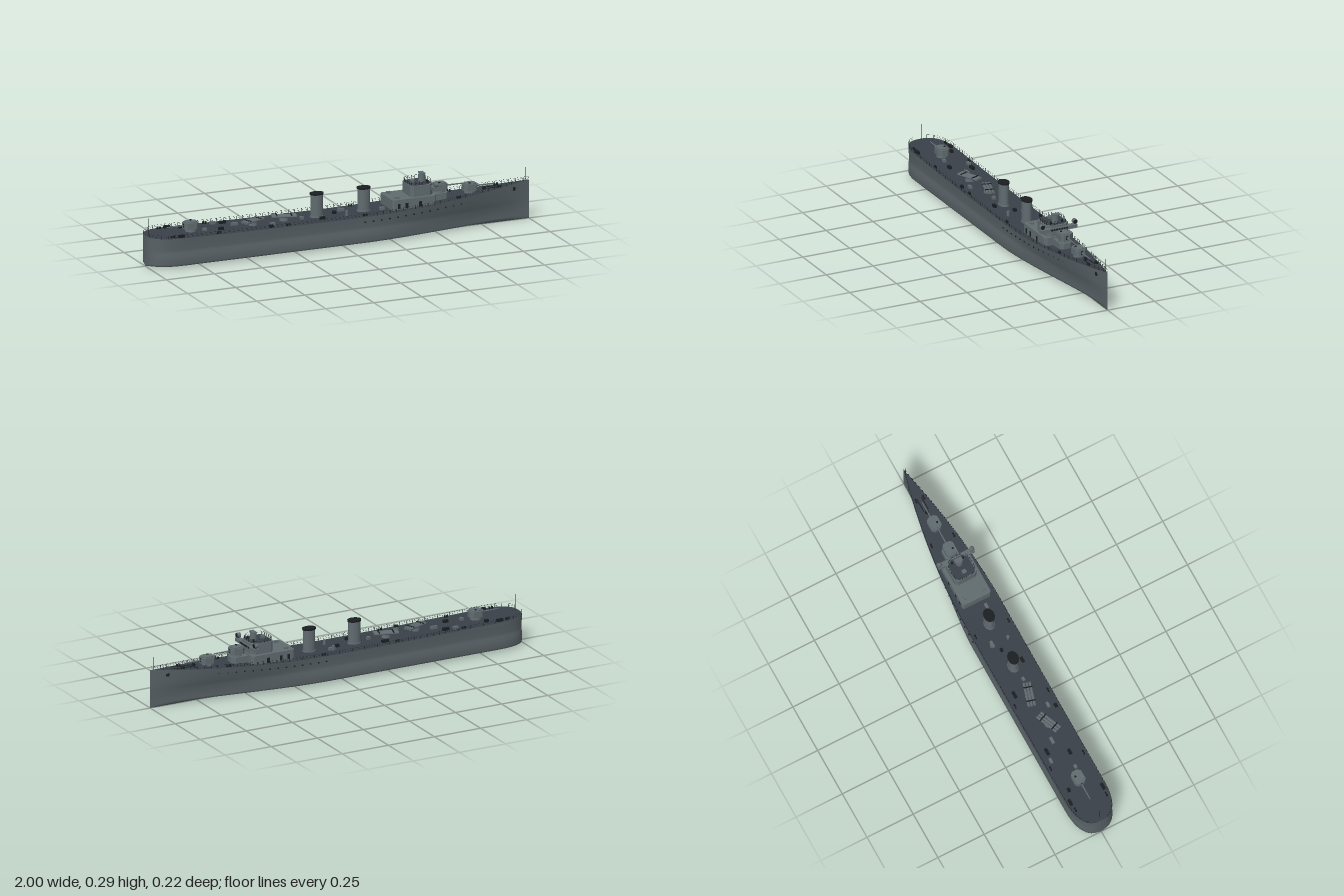
import * as THREE from 'three';
import { mergeGeometries } from 'three/addons/utils/BufferGeometryUtils.js';

const mat = (name, color, side = THREE.FrontSide) => {
  const m = new THREE.MeshStandardMaterial({ color, side });
  m.name = name;
  return m;
};
const hullGrey = mat('hull grey', 0x586266);
const houseGrey = mat('superstructure grey', 0x606b6f);
const deckGrey = mat('deck grey', 0x394048);
const black = mat('fittings black', 0x1b1f22);

// Hull lines: half-breadth at deck, half-breadth at bottom, deck height
const BEAM = 0.107;
function stern(x) {
  return x < -0.82 ? Math.pow(Math.max(0, 1 - Math.pow((-0.82 - x) / 0.18, 2.6)), 1 / 2.6) : 1;
}
function deckHalf(x) {
  const u = Math.max(0, (x - 0.2) / 0.8);
  return BEAM * stern(x) * (1 - Math.pow(u, 1.9));
}
function bottomHalf(x) {
  const u = Math.min(1, Math.max(0, (x - 0.1) / 0.9));
  return BEAM * stern(x) * Math.pow(1 - Math.pow(u, 1.6), 1.6);
}
function deckY(x) {
  return x < 0 ? 0.14 + 0.012 * x * x : 0.14 + 0.052 * Math.pow(x, 1.8);
}

function surface(pos, idx) {
  const g = new THREE.BufferGeometry();
  g.setAttribute('position', new THREE.Float32BufferAttribute(pos, 3));
  g.setIndex(idx);
  g.computeVertexNormals();
  return g;
}

// Stations run from the rounded stern to the stem
const stations = [];
for (let i = 0; i <= 14; i++) stations.push(-0.82 - 0.18 * Math.cos((i / 14) * Math.PI / 2));
for (let i = 1; i <= 52; i++) stations.push(-0.82 + 1.82 * i / 52);

function hullSection(x) {
  const w = deckHalf(x), b = bottomHalf(x), top = deckY(x);
  const pinch = 0.006 * (b / BEAM);
  const at = t => b + (w - b) * t;
  const half = [
    [w, top], [at(0.75) - pinch * 0.4, 0.12], [at(0.4) - pinch, 0.09], [at(0.25) - pinch * 0.8, 0.075],
    [at(0.1), 0.058], [b, 0.04], [b, 0.02], [b * 0.97, 0.012], [b * 0.6, 0.007],
  ];
  return [...half, [0, 0], ...half.slice().reverse().map(([z, y]) => [-z, y])];
}

function hullGeometry() {
  const pos = [], idx = [], n = 19;
  stations.forEach((x, i) => {
    hullSection(x).forEach(([z, y]) => pos.push(x, y, z));
    if (i === 0) return;
    for (let j = 0; j < n - 1; j++) {
      const a = (i - 1) * n + j, c = a + n;
      idx.push(a, a + 1, c, a + 1, c + 1, c);
    }
  });
  return surface(pos, idx);
}

function deckGeometry() {
  const pos = [], idx = [];
  stations.forEach((x, i) => {
    const w = deckHalf(x), y = deckY(x);
    pos.push(x, y, w, x, y, -w);
    if (i === 0) return;
    const a = (i - 1) * 2;
    idx.push(a, a + 2, a + 1, a + 1, a + 2, a + 3);
  });
  return surface(pos, idx);
}

export function createModel() {
  const model = new THREE.Group();
  const add = (name, geo, material, x = 0, y = 0, z = 0, parent = model) => {
    const m = new THREE.Mesh(geo, material);
    m.name = name;
    m.position.set(x, y, z);
    parent.add(m);
    return m;
  };
  const box = (name, w, h, d, material, x, y, z, parent) =>
    add(name, new THREE.BoxGeometry(w, h, d), material, x, y, z, parent);
  const cyl = (name, r0, r1, h, material, x, y, z, parent, sides = 16) =>
    add(name, new THREE.CylinderGeometry(r0, r1, h, sides), material, x, y, z, parent);

  // Plan outline (x, z) raised to a height, standing on y
  const raise = (name, pts, h, material, x, y, z, parent) => {
    const g = new THREE.ExtrudeGeometry(new THREE.Shape(pts.map(p => new THREE.Vector2(p[0], p[1]))),
      { depth: h, bevelEnabled: false });
    g.rotateX(-Math.PI / 2);
    return add(name, g, material, x, y, z, parent);
  };
  // Block with cut corners; aft cut a, forward cut f
  const plan = (l, w, a, f) => [[-l, -w + a], [-l + a, -w], [l - f, -w], [l, -w + f],
    [l, w - f], [l - f, w], [-l + a, w], [-l, w - a]];

  add('hull', hullGeometry(), hullGrey);
  add('mainDeck', deckGeometry(), deckGrey);

  // Guard rails, merged into one mesh per side
  const railAround = (name, path, count, height, closed = false) => {
    const curve = new THREE.CatmullRomCurve3(path, closed);
    const parts = [];
    for (let i = 0; i < count; i++) {
      const p = curve.getPointAt(i / count);
      parts.push(new THREE.BoxGeometry(0.0012, height, 0.0012).translate(p.x, p.y + height / 2, p.z));
    }
    for (const f of [0.5, 1]) {
      parts.push(new THREE.TubeGeometry(curve, 90, 0.0004, 3, closed).translate(0, height * f, 0));
    }
    add(name, mergeGeometries(parts), black);
  };
  for (const s of [1, -1]) {
    const path = stations.filter((x, i) => i % 2 === 0 && x > -0.999)
      .map(x => new THREE.Vector3(x, deckY(x), s * Math.max(0, deckHalf(x) - 0.002)));
    railAround(s > 0 ? 'leftRail' : 'rightRail', path, 60, 0.016);
  }

  // Portholes, hawse holes and anchors
  for (const s of [1, -1]) {
    for (let i = 0; i < 17; i++) {
      const x = 0.1 + i * 0.043, y = deckY(x) - 0.026;
      const z = bottomHalf(x) + (deckHalf(x) - bottomHalf(x)) * 0.76 - 0.001;
      cyl('porthole', 0.004, 0.004, 0.006, black, x, y, s * z, model, 10).rotation.x = Math.PI / 2;
    }
    const anchor = box('anchor', 0.016, 0.018, 0.006, black, 0.915, 0.16, s * 0.0165);
    anchor.rotation.y = s * 0.25;
  }

  // Gun mountings; dir is the way the barrel points
  const gun = (name, x, y, dir) => {
    const g = new THREE.Group();
    g.name = name;
    g.position.set(x, y, 0);
    g.rotation.y = dir > 0 ? 0 : Math.PI;
    model.add(g);
    cyl('gunBase', 0.025, 0.027, 0.014, houseGrey, 0, 0.004, 0, g, 24);
    raise('gunHouse', plan(0.036, 0.028, 0.014, 0.012), 0.031, houseGrey, 0, 0.01, 0, g);
    raise('gunRoof', plan(0.029, 0.022, 0.012, 0.01), 0.005, houseGrey, 0, 0.041, 0, g);
    box('gunSlot', 0.004, 0.018, 0.01, black, 0.035, 0.027, 0, g);
    cyl('gunBarrel', 0.0026, 0.0042, 0.09, houseGrey, 0.078, 0.027, 0, g, 12).rotation.z = -Math.PI / 2;
    cyl('sightHood', 0.005, 0.005, 0.005, black, -0.006, 0.047, 0.012, g);
  };
  gun('forwardGun', 0.69, 0.168, 1);
  gun('raisedGun', 0.533, 0.188, 1);
  gun('aftGun', -0.765, 0.151, -1);

  // Bridge block
  raise('deckHouse', plan(0.115, 0.077, 0.008, 0.012), 0.06, houseGrey, 0.372, 0.135, 0);
  raise('gunDeckHouse', plan(0.045, 0.034, 0.004, 0.016), 0.043, houseGrey, 0.525, 0.145, 0);
  raise('bridge', plan(0.06, 0.06, 0.014, 0.022), 0.055, houseGrey, 0.42, 0.194, 0);
  raise('bridgeFloor', plan(0.053, 0.053, 0.013, 0.02), 0.002, deckGrey, 0.418, 0.249, 0);
  box('bridgeWings', 0.026, 0.016, 0.194, houseGrey, 0.475, 0.23, 0);
  for (let i = -3; i <= 3; i++) box('bridgeWindow', 0.003, 0.009, 0.01, black, 0.488, 0.231, i * 0.0135);
  railAround('bridgeRail', plan(0.054, 0.053, 0.013, 0.02).map(([x, z]) =>
    new THREE.Vector3(0.418 + x, 0.25, z)), 22, 0.017, true);
  for (const s of [1, -1]) {
    cyl('searchlightStand', 0.003, 0.004, 0.014, black, 0.475, 0.243, s * 0.087);
    cyl('searchlight', 0.012, 0.012, 0.018, houseGrey, 0.475, 0.252, s * 0.087).rotation.z = Math.PI / 2;
    cyl('searchlightLens', 0.0105, 0.0105, 0.003, black, 0.484, 0.252, s * 0.087).rotation.z = Math.PI / 2;
    for (const x of [0.29, 0.33, 0.4]) box('houseDoor', 0.014, 0.026, 0.002, black, x, 0.163, s * 0.0768);
    box('sideLocker', 0.02, 0.01, 0.014, houseGrey, 0.29, 0.199, s * 0.05);
    cyl('lookoutSight', 0.004, 0.005, 0.014, black, 0.455, 0.257, s * 0.03);
  }
  cyl('directorTower', 0.016, 0.017, 0.038, houseGrey, 0.44, 0.27, 0.001);
  box('rangefinder', 0.022, 0.006, 0.04, houseGrey, 0.443, 0.291, -0.003);
  box('chartTable', 0.018, 0.014, 0.02, houseGrey, 0.39, 0.257, 0);

  // Funnels with dark caps
  for (const x of [-0.107, 0.138]) {
    const f = new THREE.Group();
    f.name = 'funnel';
    f.position.set(x, 0.138, 0);
    f.scale.z = 0.76;
    model.add(f);
    cyl('funnelTube', 0.031, 0.031, 0.115, houseGrey, 0, 0.0575, 0, f, 32);
    cyl('funnelFoot', 0.033, 0.035, 0.008, houseGrey, 0, 0.004, 0, f, 32);
    cyl('funnelCap', 0.035, 0.034, 0.008, black, 0, 0.117, 0, f, 32);
  }

  // Triple torpedo tubes trained off the centreline
  [[-0.445, 0.012, 0.4], [-0.277, -0.003, -0.28]].forEach(([x, z, turn]) => {
    const t = new THREE.Group();
    t.name = 'torpedoMount';
    t.position.set(x, deckY(x), z);
    t.rotation.y = turn;
    model.add(t);
    cyl('torpedoTurntable', 0.02, 0.022, 0.016, houseGrey, 0, 0.008, 0, t, 20);
    for (const k of [-1, 0, 1]) {
      cyl('torpedoTube', 0.0065, 0.0065, 0.12, houseGrey, 0, 0.022, k * 0.0145, t, 12).rotation.z = Math.PI / 2;
    }
    for (const k of [-0.035, 0.035]) box('torpedoBand', 0.006, 0.004, 0.044, black, k, 0.028, 0, t);
  });

  // Hatches and lockers: x, z
  [[-0.79, -0.064], [-0.62, -0.07], [-0.57, -0.064], [-0.7, 0.02], [-0.62, 0.032], [-0.53, -0.016], [-0.38, 0.085],
    [-0.36, 0.053], [-0.24, -0.064], [-0.19, 0.011], [-0.1, 0.053], [0.035, -0.037], [-0.01, -0.011], [0.22, 0.03]]
    .forEach(([x, z], i) => box('deckLocker', 0.018 + (i % 3) * 0.008, 0.014, 0.014, i % 2 ? houseGrey : black,
      x, deckY(x) + 0.006, z));

  // Mooring bollards, aft racks, capstan and ventilators
  for (const s of [1, -1]) {
    for (const x of [-0.9, -0.66, -0.3, 0.1, 0.6, 0.83]) {
      for (const d of [0, 0.013]) {
        cyl('bollard', 0.0045, 0.0045, 0.012, black, x + d, deckY(x) + 0.005, s * (deckHalf(x) - 0.018), model, 10);
      }
    }
    box('aftRack', 0.032, 0.014, 0.014, black, -0.85, 0.154, s * 0.088);
    box('anchorChain', 0.07, 0.003, 0.004, black, 0.81, deckY(0.81) + 0.002, s * 0.012);
    cyl('ventilator', 0.007, 0.007, 0.026, houseGrey, 0.03, 0.152, s * 0.045, model, 12);
  }
  cyl('capstan', 0.008, 0.01, 0.014, black, 0.765, deckY(0.765) + 0.006, 0);

  // Flagstaffs
  cyl('bowStaff', 0.0012, 0.0015, 0.068, black, 0.98, 0.222, 0, model, 6);
  cyl('sternStaff', 0.0012, 0.0015, 0.085, black, -0.982, 0.193, 0, model, 6);
  return model;
}
